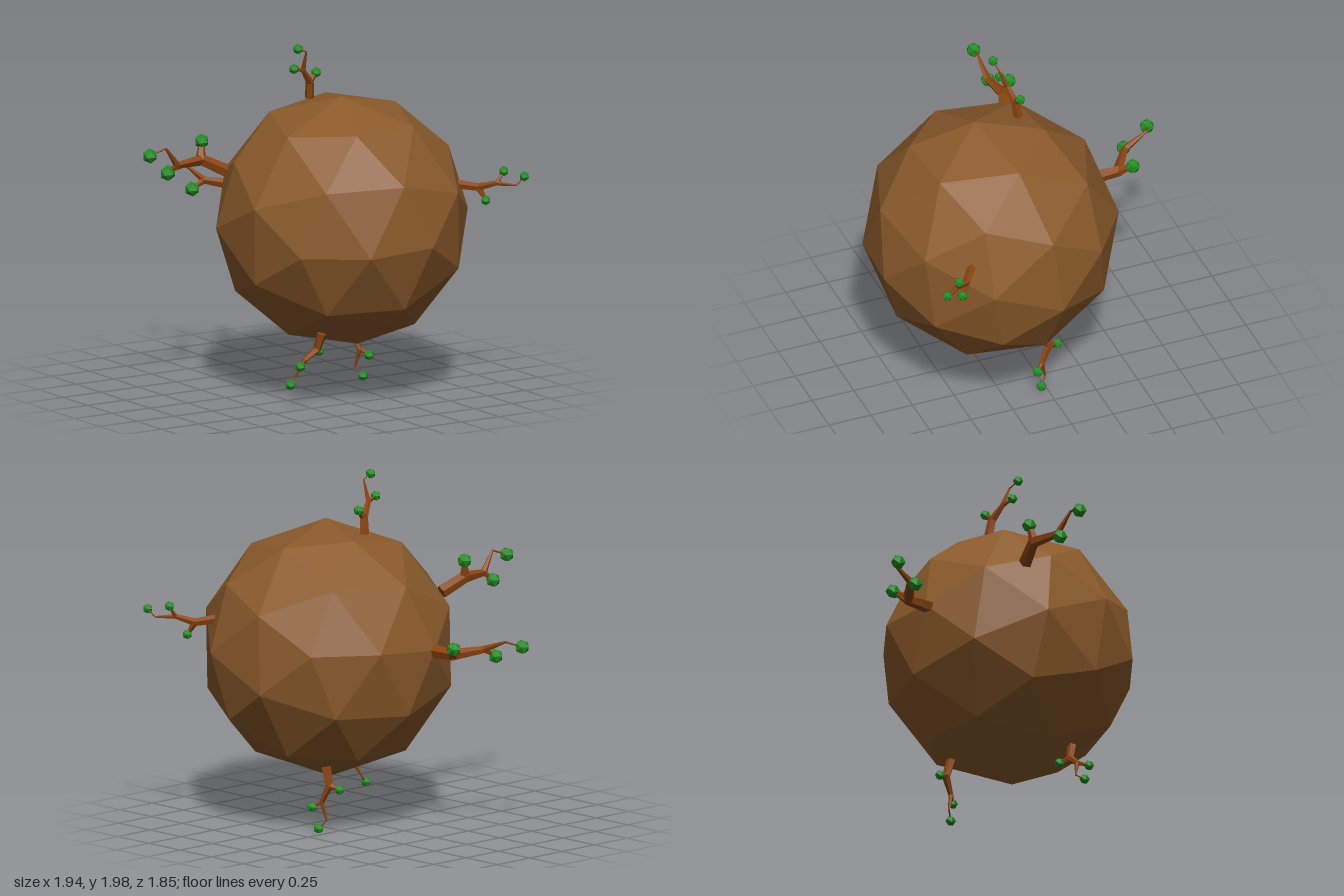
import * as THREE from 'three';

const V = (p) => new THREE.Vector3(...p);
const material = (color) => new THREE.MeshStandardMaterial({ color, flatShading: true });

// Tapered five-sided limb through a list of points, one radius per point
function limbGeometry(path, radii, sides = 5) {
  const pts = path.map(V);
  const last = pts.length - 1;
  const start = pts[1].clone().sub(pts[0]).normalize();
  const ref = Math.abs(start.y) < 0.7 ? V([0, 1, 0]) : V([0, 0, 1]);
  const pos = [];
  const index = [];
  pts.forEach((p, i) => {
    const before = pts[Math.max(i - 1, 0)];
    const after = pts[Math.min(i + 1, last)];
    const t = after.clone().sub(before).normalize();
    const u = ref.addScaledVector(t, -ref.dot(t)).normalize().clone();
    const w = t.clone().cross(u);
    for (let k = 0; k < sides; k++) {
      const a = (k / sides) * Math.PI * 2;
      const q = p.clone()
        .addScaledVector(u, Math.cos(a) * radii[i])
        .addScaledVector(w, Math.sin(a) * radii[i]);
      pos.push(q.x, q.y, q.z);
      if (i < last) {
        const n = (k + 1) % sides;
        const r = i * sides;
        index.push(r + k, r + n, r + sides + n, r + k, r + sides + n, r + sides + k);
      }
    }
  });
  // End caps
  for (let k = 1; k < sides - 1; k++) {
    const e = last * sides;
    index.push(0, k + 1, k, e, e + k, e + k + 1);
  }
  const geo = new THREE.BufferGeometry();
  geo.setAttribute('position', new THREE.Float32BufferAttribute(pos, 3));
  geo.setIndex(index);
  const flat = geo.toNonIndexed();
  flat.computeVertexNormals();
  return flat;
}

// base, fork, elbow and bend trace the trunk; leaves are [near fork, near elbow, tip]
const TREES = [
  { name: 'topTree', size: 0.030, base: [0.04, 1.66, 0.03], fork: [0.03, 1.755, 0.045],
    elbow: [-0.03, 1.83, 0.07], bend: [-0.037, 1.945, 0.115],
    leaves: [[0.08, 1.80, 0.035], [-0.10, 1.85, 0.085], [-0.10, 1.97, 0.125]] },
  { name: 'rightTree', size: 0.043, base: [-0.44, 1.28, -0.09], fork: [-0.575, 1.35, -0.135],
    elbow: [-0.75, 1.345, -0.105], bend: [-0.84, 1.455, -0.085],
    leaves: [[-0.555, 1.45, -0.155], [-0.80, 1.30, -0.13], [-0.935, 1.42, -0.10]] },
  { name: 'backTree', size: 0.043, base: [-0.03, 1.06, -0.45], fork: [-0.035, 1.06, -0.60],
    elbow: [-0.18, 1.085, -0.70], bend: [-0.21, 1.145, -0.84],
    leaves: [[0.02, 1.11, -0.665], [-0.25, 1.04, -0.72], [-0.30, 1.11, -0.88]] },
  { name: 'leftTree', size: 0.029, base: [0.67, 1.19, 0.565], fork: [0.765, 1.175, 0.635],
    elbow: [0.83, 1.205, 0.72], bend: [0.905, 1.20, 0.81],
    leaves: [[0.79, 1.105, 0.67], [0.875, 1.27, 0.725], [0.945, 1.25, 0.825]] },
  { name: 'lowerFrontTree', size: 0.030, base: [-0.16, 0.42, 0.46], fork: [-0.175, 0.33, 0.435],
    elbow: [-0.25, 0.275, 0.425], bend: [-0.288, 0.175, 0.385],
    leaves: [[-0.135, 0.305, 0.39], [-0.305, 0.25, 0.465], [-0.335, 0.14, 0.41]] },
  { name: 'lowerLeftTree', size: 0.030, base: [0.355, 0.39, 0.01], fork: [0.36, 0.285, -0.02],
    elbow: [0.375, 0.19, 0.025], bend: [0.36, 0.085, 0.0],
    leaves: [[0.34, 0.27, -0.08], [0.41, 0.16, 0.065], [0.39, 0.04, 0.035]] },
];

export function createModel() {
  const model = new THREE.Group();
  model.name = 'treePlanet';
  const soil = material(0x8b5a2b);
  const bark = material(0x8b4513);
  const foliage = material(0x228b22);

  // Faceted planet, tilted so one edge of the icosahedron spans two known corners
  const cornerA = V([0.111, 0.905, -0.404]).normalize();
  const cornerB = V([-0.205, 0.094, -0.975]).normalize();
  const xAxis = cornerA.clone().sub(cornerB).normalize();
  const yAxis = cornerA.clone().add(cornerB).normalize();
  const zAxis = xAxis.clone().cross(yAxis);
  const planet = new THREE.Mesh(new THREE.IcosahedronGeometry(0.718, 1), soil);
  planet.name = 'planet';
  planet.quaternion.setFromRotationMatrix(new THREE.Matrix4().makeBasis(xAxis, yAxis, zAxis));
  planet.position.set(0.1235, 1.003, 0.23);
  model.add(planet);

  // Trees
  for (const { name, size, base, fork, elbow, bend, leaves } of TREES) {
    const tree = new THREE.Group();
    tree.name = name;
    const limb = (label, path, radii) => {
      const mesh = new THREE.Mesh(limbGeometry(path, radii.map((r) => r * size)), bark);
      mesh.name = label;
      tree.add(mesh);
    };
    limb('trunk', [base, fork, elbow, bend, leaves[2]], [0.9, 0.8, 0.5, 0.17, 0.1]);
    limb('forkBranch', [fork, leaves[0]], [0.75, 0.3]);
    limb('elbowBranch', [elbow, leaves[1]], [0.45, 0.2]);
    leaves.forEach((p) => {
      const leaf = new THREE.Mesh(new THREE.IcosahedronGeometry(size, 0), foliage);
      leaf.name = 'leafBall';
      leaf.position.set(...p);
      leaf.quaternion.copy(planet.quaternion);
      tree.add(leaf);
    });
    model.add(tree);
  }
  return model;
}
